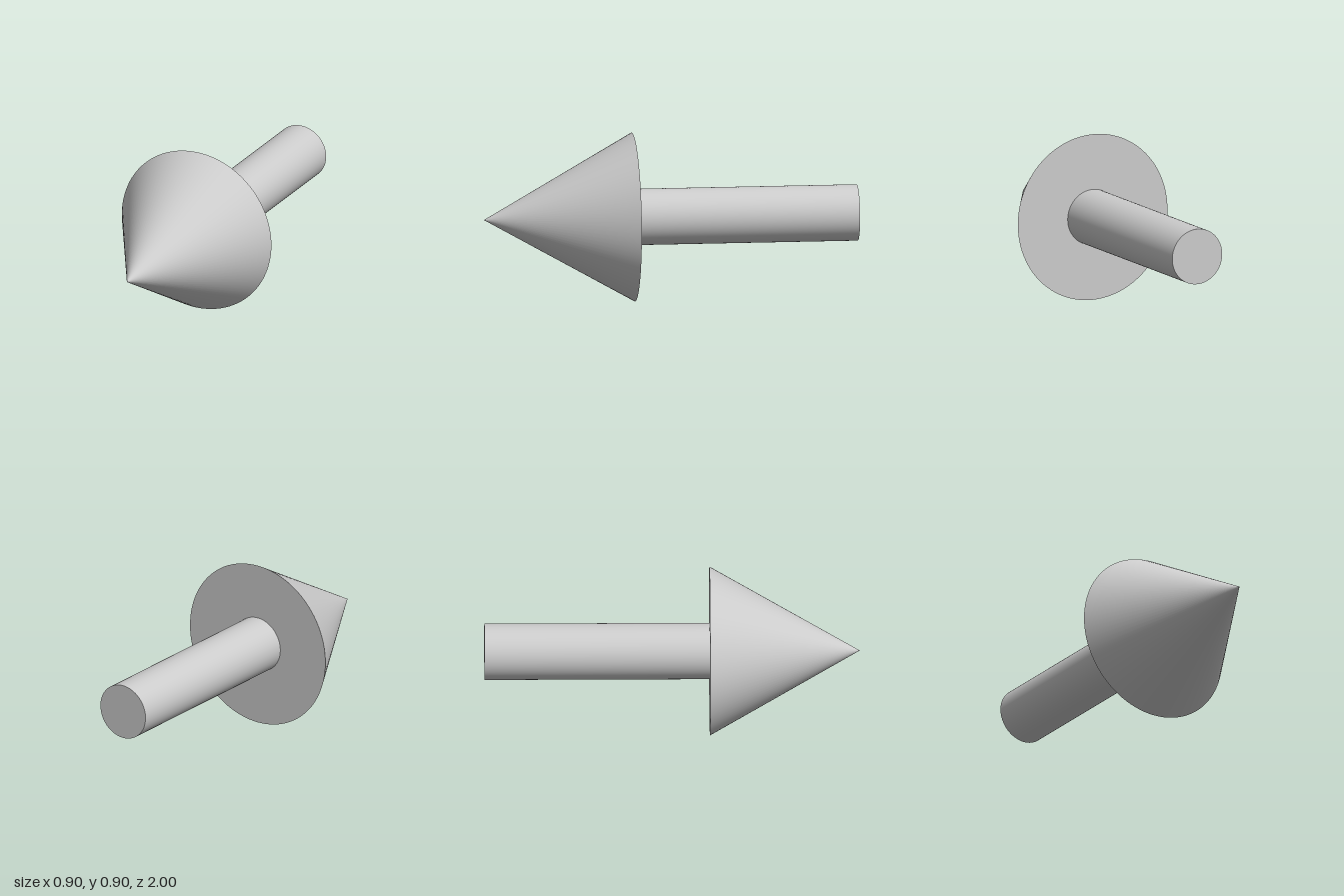
import * as THREE from 'three';

const SEGMENTS = 96;
const AXIS_HEIGHT = 0.45;

export function createModel() {
  const group = new THREE.Group();
  group.name = 'arrow';
  const material = new THREE.MeshStandardMaterial({ color: 0xcccccc });

  // Round part lying along z, from zBack to zFront
  const addRound = (name, rFront, rBack, zBack, zFront) => {
    const geometry = new THREE.CylinderGeometry(rFront, rBack, zFront - zBack, SEGMENTS);
    geometry.rotateX(Math.PI / 2);
    const mesh = new THREE.Mesh(geometry, material);
    mesh.name = name;
    mesh.position.set(0, AXIS_HEIGHT, (zBack + zFront) / 2);
    group.add(mesh);
  };

  // Pointed head facing the front
  addRound('arrowHead', 0, 0.45, 0.2, 1);
  // Straight shaft behind it
  addRound('shaft', 0.15, 0.15, -1, 0.2);

  return group;
}
